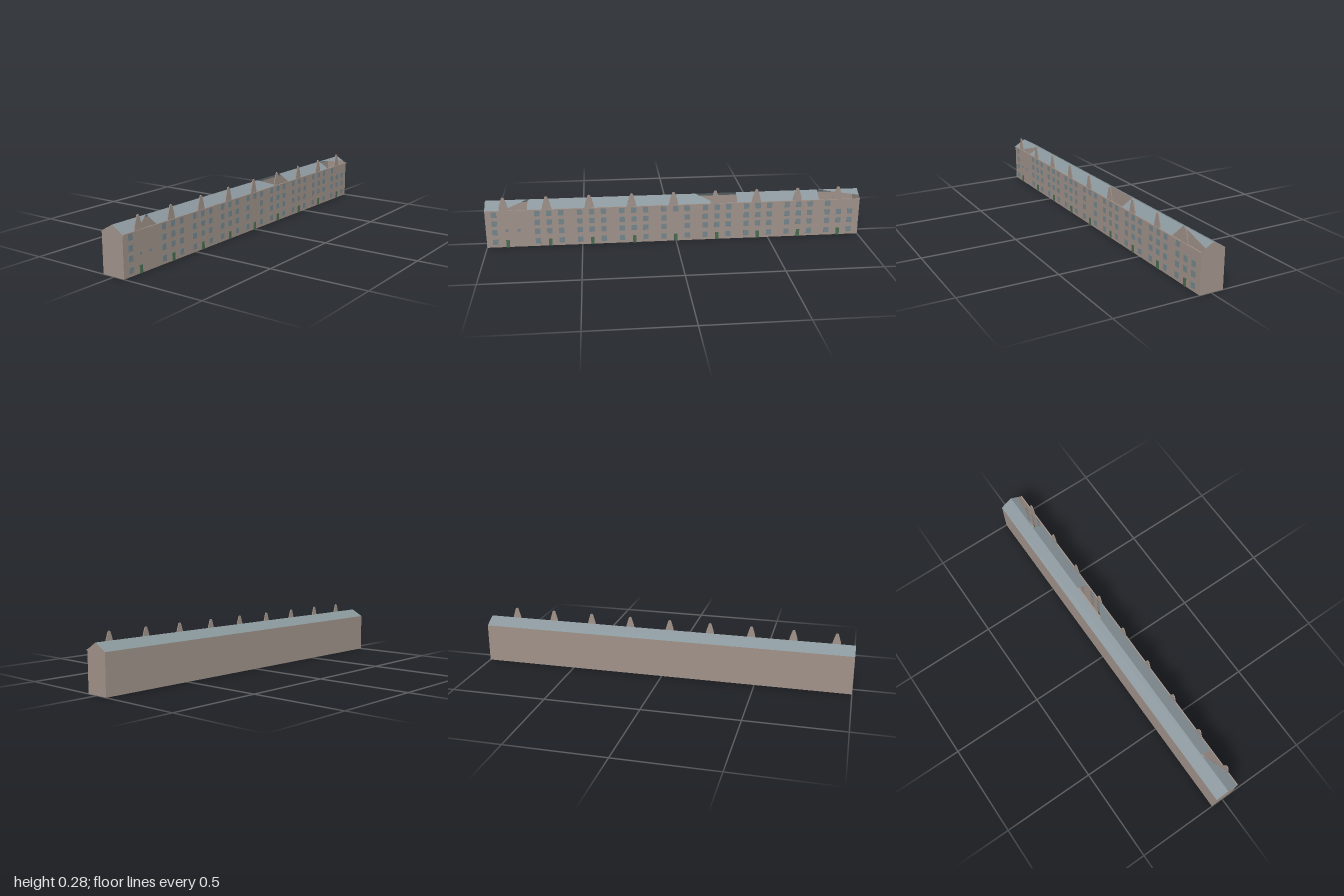
import * as THREE from 'three';

const material = (name, color) => {
  const m = new THREE.MeshStandardMaterial({ color, side: THREE.DoubleSide });
  m.name = name;
  return m;
};

// Main dimensions
const EAVE = 0.205, RIDGE = 0.242, FRONT = 0.061, BACK = -0.066;
const BAYS = 9, BAY_WIDTH = 0.2222;
const bayX = i => -0.902 + i * BAY_WIDTH;

// Flat convex polygon as a triangle fan
function polygon(points) {
  const geo = new THREE.BufferGeometry().setFromPoints(points.map(p => new THREE.Vector3(...p)));
  const index = [];
  for (let i = 1; i < points.length - 1; i++) index.push(0, i, i + 1);
  geo.setIndex(index);
  geo.computeVertexNormals();
  return geo;
}

export function createModel() {
  const group = new THREE.Group();
  group.name = 'terraceRow';
  const stone = material('stone', 0x9f9189);
  const slate = material('slate', 0x88959a);
  const glass = material('glass', 0x74858a);
  const green = material('doorGreen', 0x4a6a50);

  const add = (name, geo, mat, x = 0, y = 0, z = 0) => {
    const mesh = new THREE.Mesh(geo, mat);
    mesh.name = name;
    mesh.position.set(x, y, z);
    group.add(mesh);
  };

  // Long walls and floor
  add('frontWall', polygon([[-1, 0, FRONT], [1, 0, FRONT], [1, EAVE, FRONT], [-1, EAVE, FRONT]]), stone);
  add('backWall', polygon([[1, 0, BACK], [-1, 0, BACK], [-1, EAVE, BACK], [1, EAVE, BACK]]), stone);
  add('floor', polygon([[-1, 0, BACK], [1, 0, BACK], [1, 0, FRONT], [-1, 0, FRONT]]), stone);

  // Gable ends
  for (const x of [-1, 1]) {
    const end = [[x, 0, FRONT], [x, 0, BACK], [x, EAVE, BACK], [x, RIDGE, 0], [x, EAVE, FRONT]];
    add('gableEnd', polygon(x > 0 ? end : end.reverse()), stone);
  }

  // Back roof slope
  add('backRoof', polygon([[1, EAVE, BACK], [-1, EAVE, BACK], [-1, RIDGE, 0], [1, RIDGE, 0]]), slate);

  // Front roof slope in pieces with open gaps: [x, fraction of the way down]
  const onSlope = ([x, t]) => [x, RIDGE + (EAVE - RIDGE) * t, FRONT * t];
  [
    [[-1, 1], [-0.91, 1], [-0.78, 0], [-1, 0]],
    [[-0.78, 1], [0.21, 1], [0.11, 0], [-0.78, 0]],
    [[0.33, 1], [0.775, 1], [0.775, 0], [0.33, 0]],
    [[0.775, 0], [1, 0.65], [1, 0]],
  ].forEach(piece => add('frontRoof', polygon(piece.map(onSlope)), slate));

  // Eaves moulding
  add('eavesMoulding', new THREE.BoxGeometry(2, 0.006, 0.006), stone, 0, 0.203, 0.064);

  // Tapered dormer gable outline
  const outline = [[-0.026, 0.2], [0.026, 0.2], [0.02, 0.232], [0.013, 0.255],
    [0.007, 0.274], [0, 0.278], [-0.007, 0.274], [-0.013, 0.255], [-0.02, 0.232]];
  const dormer = new THREE.ExtrudeGeometry(
    new THREE.Shape(outline.map(p => new THREE.Vector2(...p))), { depth: 0.005, bevelEnabled: false });

  const windowGeo = new THREE.BoxGeometry(0.028, 0.03, 0.004);
  const smallWindow = new THREE.BoxGeometry(0.014, 0.014, 0.004);
  const doorGeo = new THREE.BoxGeometry(0.018, 0.04, 0.004);
  const rows = [0.184, 0.134, 0.085, 0.03];

  for (let i = 0; i < BAYS; i++) {
    const x = bayX(i);
    add('dormerGable', dormer, stone, x, 0, 0.059);
    add('door', doorGeo, green, x + 0.012, 0.02, FRONT + 0.002);
    // Three window columns; the door takes the middle of the ground floor
    [-0.052, 0.011, 0.073].forEach((dx, column) => rows.forEach((y, row) => {
      if (column === 1 && row === 3) return;
      if (i === 0 && column > 0) {
        if (row === 2) add('smallWindow', smallWindow, glass, x + dx, y + 0.01, FRONT + 0.001);
        return;
      }
      if (i === 4 && column === 1 && row > 0) return;
      if (i === 8 && column > 0 && row === 0) return;
      add('window', windowGeo, glass, x + dx, y, FRONT + 0.001);
    }));
  }
  return group;
}
